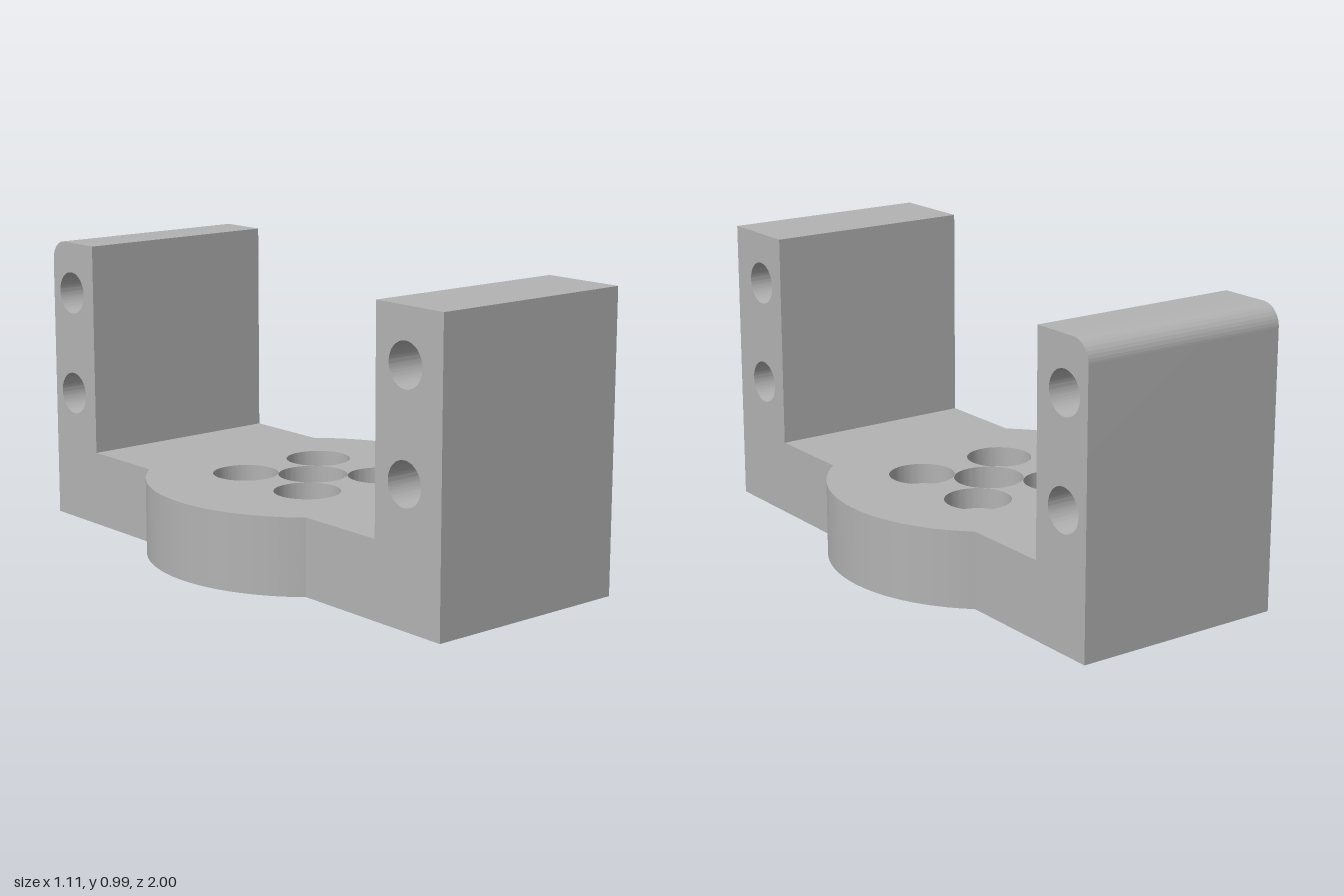
import * as THREE from 'three';
import { toCreasedNormals } from 'three/addons/utils/BufferGeometryUtils.js';

const HALF_W = 0.369, BASE_H = 0.26, WALL_H = 0.993;
const FRONT_IN = 0.71, BACK_IN = -0.76;      // inner faces of the two uprights
const DISC_R = 0.556, DISC_Z = -0.0275;      // round swelling of the base
const HUB_X = 0.0135, HUB_Z = -0.03;         // centre of the hole pattern
const BOLT_OFF = 0.162;

function circleHole(x, y, r) {
  const p = new THREE.Path();
  p.absarc(x, y, r, 0, Math.PI * 2, true);
  return p;
}

function extrude(shape, depth) {
  return new THREE.ExtrudeGeometry(shape, { depth, bevelEnabled: false, curveSegments: 48 });
}

// One horizontal slice of the base; holes are [x, z, radius]
function baseLayer(y0, y1, holes) {
  const a = Math.acos(HALF_W / DISC_R);
  const s = new THREE.Shape();
  s.moveTo(-HALF_W, -FRONT_IN);
  s.lineTo(HALF_W, -FRONT_IN);
  s.absarc(0, -DISC_Z, DISC_R, -a, a, false);
  s.lineTo(HALF_W, -BACK_IN);
  s.lineTo(-HALF_W, -BACK_IN);
  s.absarc(0, -DISC_Z, DISC_R, Math.PI - a, Math.PI + a, false);
  s.closePath();
  for (const [x, z, r] of holes) s.holes.push(circleHole(x, -z, r));
  const g = extrude(s, y1 - y0);
  g.rotateX(-Math.PI / 2);
  g.translate(0, y0, 0);
  return toCreasedNormals(g, 0.5);
}

// Upright block with two cross holes; round softens the outer top edge at z0
function upright(z0, z1, holeZ, round) {
  const s = new THREE.Shape();
  s.moveTo(z0, 0);
  s.lineTo(z1, 0);
  s.lineTo(z1, WALL_H);
  if (round > 0) {
    s.lineTo(z0 + round, WALL_H);
    s.absarc(z0 + round, WALL_H - round, round, Math.PI / 2, Math.PI, false);
  } else {
    s.lineTo(z0, WALL_H);
  }
  s.closePath();
  for (const y of [0.455, 0.815]) s.holes.push(circleHole(holeZ, y, 0.073));
  const g = extrude(s, HALF_W * 2);
  g.rotateY(-Math.PI / 2);
  g.translate(HALF_W, 0, 0);
  return toCreasedNormals(g, 0.5);
}

export function createModel() {
  const group = new THREE.Group();
  group.name = 'bracket';
  const grey = new THREE.MeshStandardMaterial({ color: 0xb3b3b3 });
  grey.name = 'grey';

  const add = (name, geometry) => {
    const mesh = new THREE.Mesh(geometry, grey);
    mesh.name = name;
    group.add(mesh);
  };

  // Central hole plus four bolt holes of a given radius
  const pattern = (r) => {
    const list = [[HUB_X, HUB_Z, 0.117]];
    for (const sx of [-1, 1])
      for (const sz of [-1, 1])
        list.push([HUB_X + sx * BOLT_OFF, HUB_Z + sz * BOLT_OFF, r]);
    return list;
  };

  // Base: round recess below, bolt holes through, counterbores on top
  add('baseRecessLayer', baseLayer(0, 0.07, [[HUB_X, HUB_Z, 0.37]]));
  add('baseBoltLayer', baseLayer(0.07, 0.19, pattern(0.072)));
  add('baseCounterboreLayer', baseLayer(0.19, BASE_H, pattern(0.111)));

  // Uprights at both ends
  add('frontUpright', upright(FRONT_IN, 1, 0.84, 0));
  add('backUpright', upright(-1, BACK_IN, -0.89, 0.07));

  return group;
}
